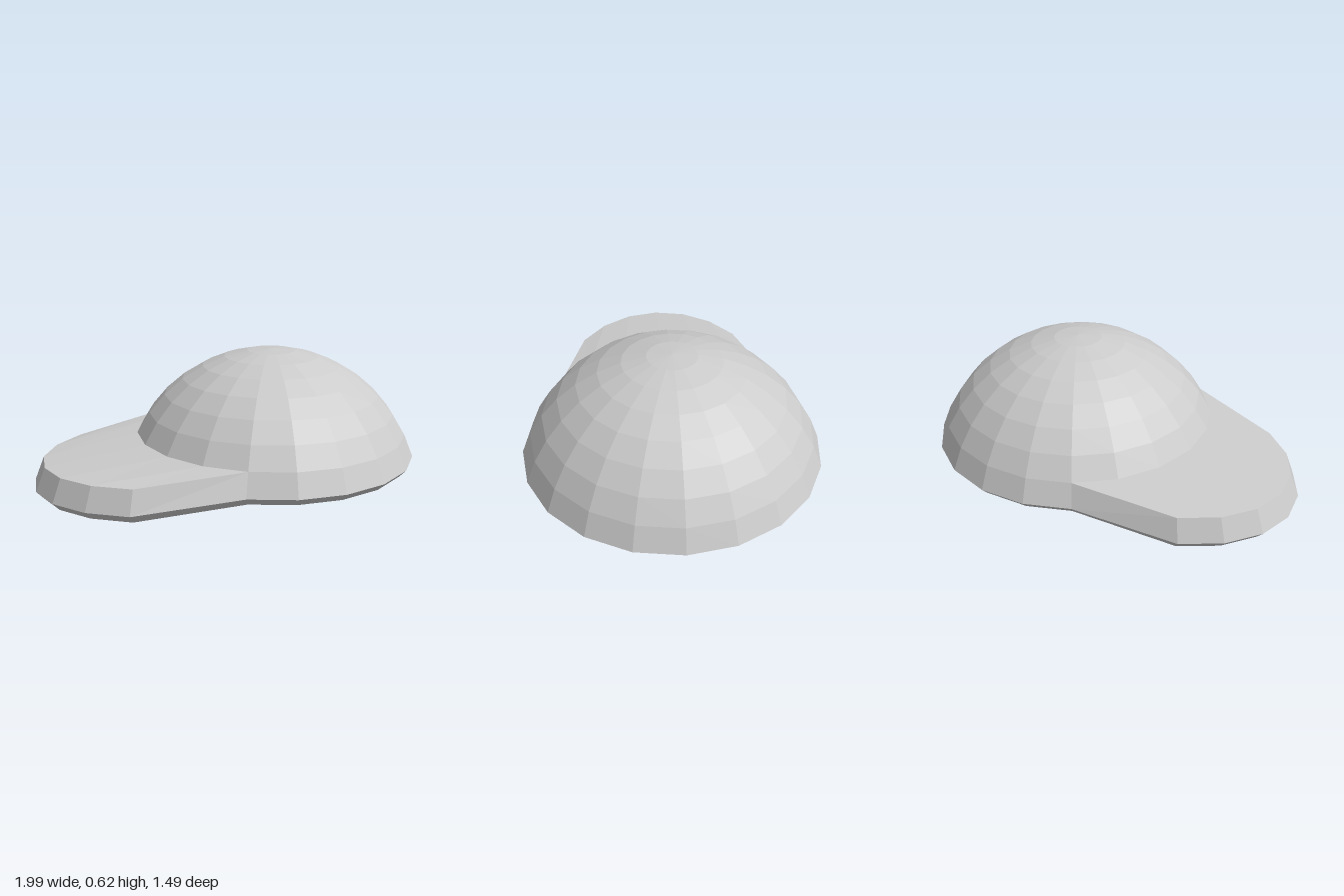
import * as THREE from 'three';

const SIDES = 20;                     // facets around the crown
const STEP = (Math.PI * 2) / SIDES;
const R = 0.784;                      // crown sphere radius
const CENTER_X = 0.25;
const CENTER_Y = -0.159;
const RIM = [0.71, 0.045];            // lower edge of the band

// Radius and height of crown ring i (0 = top, 8 = widest)
const ring = (i) => [R * Math.sin(i * Math.PI / 20), CENTER_Y + R * Math.cos(i * Math.PI / 20)];

const material = new THREE.MeshStandardMaterial({
  color: 0xcccccc, flatShading: true, side: THREE.DoubleSide,
});

// Faceted dome, chamfered rim and shallow hollow underneath
function makeCrown() {
  const profile = [[0, 0.3], [0.48, 0.19], RIM];
  for (let i = 8; i >= 0; i--) profile.push(ring(i));
  const geometry = new THREE.LatheGeometry(profile.map(([r, y]) => new THREE.Vector2(r, y)), SIDES);
  const crown = new THREE.Mesh(geometry, material);
  crown.position.x = CENTER_X;
  crown.name = 'crown';
  return crown;
}

// Visor: six crown facets drawn outward, narrowed and tilted down
function makeVisor() {
  const at = ([r, y], k) => [CENTER_X - r * Math.cos(k * STEP), y, r * Math.sin(k * STEP)];
  const out = (p, k) => {
    const [x, y, z] = at(p, k);
    return [x - 0.5, y - 0.045, z * 0.78];
  };
  const section = (k) => [
    at(ring(7), k), out(ring(7), k), out(ring(8), k), out(RIM, k), at(RIM, k),
  ];
  const positions = [];
  const quad = (a, b, c, d) => positions.push(...a, ...b, ...c, ...a, ...c, ...d);

  // top, front edge and underside
  for (let k = -3; k < 3; k++) {
    const s = section(k), t = section(k + 1);
    for (let j = 0; j < 4; j++) quad(s[j], s[j + 1], t[j + 1], t[j]);
  }
  // side edges
  for (const k of [-3, 3]) {
    const [top, topOut, midOut, lowOut, low] = section(k);
    const mid = at(ring(8), k);
    for (const face of [[top, topOut, midOut, mid], [mid, midOut, lowOut, low]]) {
      quad(...(k > 0 ? face : face.reverse()));
    }
  }
  const geometry = new THREE.BufferGeometry();
  geometry.setAttribute('position', new THREE.Float32BufferAttribute(positions, 3));
  geometry.computeVertexNormals();
  const visor = new THREE.Mesh(geometry, material);
  visor.name = 'visor';
  return visor;
}

export function createModel() {
  const cap = new THREE.Group();
  cap.name = 'cap';
  cap.add(makeCrown(), makeVisor());
  return cap;
}
